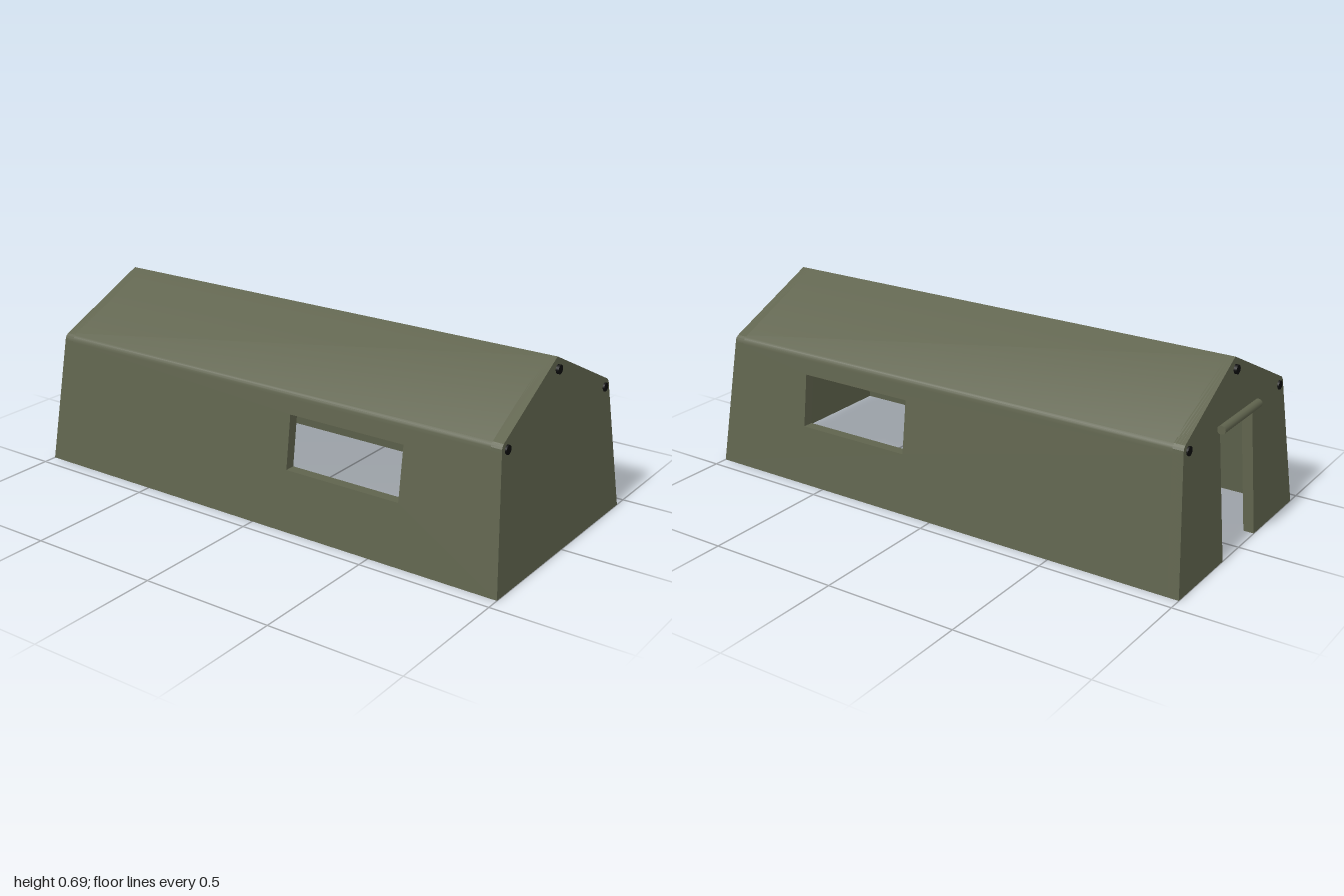
import * as THREE from 'three';
import { toCreasedNormals } from 'three/addons/utils/BufferGeometryUtils.js';

const T = 0.04;            // wall thickness
const END_LEAN = 0.083;    // inward lean of the gable ends per unit height
const SIDE_LEAN = 0.128;   // inward lean of the long walls per unit height
const HALF_W = 0.448;
const EAVE = 0.48;
const halfLength = y => 1 - END_LEAN * y;
const halfWidth = y => HALF_W - SIDE_LEAN * y;

const polygon = pts => new THREE.Shape(pts.map(p => new THREE.Vector2(...p)));

// Moves every vertex of a geometry by a rule.
function reshape(geo, rule) {
  const pos = geo.attributes.position;
  const v = new THREE.Vector3();
  for (let i = 0; i < pos.count; i++) {
    rule(v.fromBufferAttribute(pos, i));
    pos.setXYZ(i, v.x, v.y, v.z);
  }
  geo.computeVertexNormals();
  return geo;
}

// A leaning wall slab whose outer face passes through `distance` at the ground.
function wallPanel(shape, distance, lean, angle) {
  const geo = new THREE.ExtrudeGeometry(shape, { depth: T, bevelEnabled: false });
  reshape(geo, v => { v.z += distance - T - lean * v.y; });
  return geo.rotateY(angle);
}

export function createModel() {
  const group = new THREE.Group();
  const canvas = new THREE.MeshStandardMaterial({ color: 0x5f634d });
  canvas.name = 'olive canvas';
  const black = new THREE.MeshStandardMaterial({ color: 0x0b0b0b });
  black.name = 'black pole';

  const add = (name, geo, mat) => {
    const mesh = new THREE.Mesh(geo, mat);
    mesh.name = name;
    group.add(mesh);
    return mesh;
  };

  // Long walls, each with a window opening towards +x
  for (const s of [1, -1]) {
    const top = halfLength(EAVE);
    const wall = polygon([[-1, 0], [1, 0], [top, EAVE], [-top, EAVE]]);
    const a = 0.135 * s, b = 0.6 * s;
    wall.holes.push(polygon([[a, 0.225], [a, 0.425], [b, 0.425], [b, 0.225]]));
    add(s > 0 ? 'frontWall' : 'backWall',
      wallPanel(wall, HALF_W, SIDE_LEAN, s > 0 ? 0 : Math.PI), canvas);
  }

  // Outer roof line from eave to eave, with softly rounded eaves
  const slope = [[halfWidth(EAVE), EAVE], [0.385, 0.492], [0.381, 0.5], [0.373, 0.507]];
  const roofLine = [...slope, [0, 0.69], ...slope.map(([z, y]) => [-z, y]).reverse()];

  // Gable ends: closed at +x, doorway at -x
  const gable = [[-HALF_W, 0], [HALF_W, 0], ...roofLine];
  add('closedEnd', wallPanel(polygon(gable), 1, END_LEAN, Math.PI / 2), canvas);
  const d = 0.126, h = 0.475;
  const doorEnd = polygon([[-HALF_W, 0], [-d, 0], [-d, h], [d, h], [d, 0], [HALF_W, 0], ...roofLine]);
  add('doorEnd', wallPanel(doorEnd, 1, END_LEAN, -Math.PI / 2), canvas);

  // Roof shell, its ends following the lean of the gables
  const roofSection = polygon([...roofLine, [-0.347, 0.474], [0, 0.645], [0.347, 0.474]]);
  const roof = new THREE.ExtrudeGeometry(roofSection, { depth: 2, bevelEnabled: false });
  reshape(roof, v => { v.z = (v.z - 1) * halfLength(v.y); });
  roof.rotateY(Math.PI / 2);
  add('roof', toCreasedNormals(roof, 0.45), canvas);

  // Frame poles running the whole length, tips poking through the ends
  for (const [name, y, z, half] of [
    ['ridgePole', 0.647, 0, 0.957],
    ['frontEavePole', 0.482, 0.352, 0.966],
    ['backEavePole', 0.482, -0.352, 0.966],
  ]) {
    const pole = add(name, new THREE.CylinderGeometry(0.0165, 0.0165, half * 2, 12).rotateZ(Math.PI / 2), black);
    pole.position.set(0, y, z);
  }

  // Door flap rolled up above the doorway
  const roll = add('rolledDoorFlap', new THREE.CylinderGeometry(0.016, 0.016, 0.29, 12).rotateX(Math.PI / 2), canvas);
  roll.position.set(-0.974, 0.484, 0);

  return group;
}
